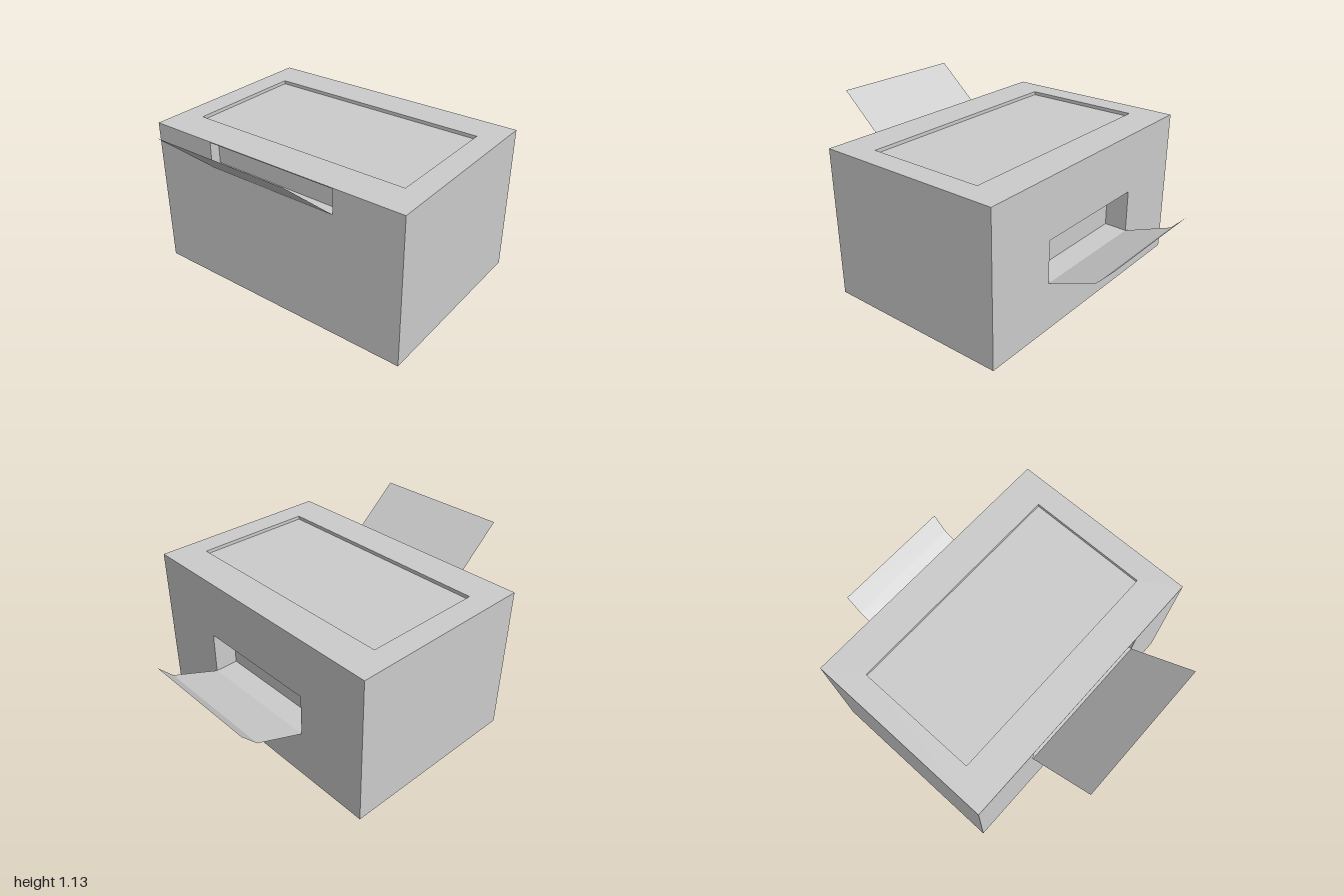
import * as THREE from 'three';

const W = 1.78, H = 0.96, Z0 = -0.595, Z1 = 0.625;
const D = Z1 - Z0, ZC = (Z0 + Z1) / 2;

const solid = new THREE.MeshStandardMaterial({ color: 0xcccccc, flatShading: true });
const thin = new THREE.MeshStandardMaterial({ color: 0xcccccc, flatShading: true, side: THREE.DoubleSide });

function mesh(name, geometry, material = solid) {
  const m = new THREE.Mesh(geometry, material);
  m.name = name;
  return m;
}

function rectangle(path, x0, x1, y0, y1) {
  path.moveTo(x0, y0);
  path.lineTo(x1, y0);
  path.lineTo(x1, y1);
  path.lineTo(x0, y1);
  path.closePath();
  return path;
}

// Panel facing +z with a rectangular pocket sunk into it
function pocketPanel(name, w, h, [x0, x1, y0, y1], depth) {
  const group = new THREE.Group();
  group.name = name;
  const shape = rectangle(new THREE.Shape(), -w / 2, w / 2, -h / 2, h / 2);
  shape.holes.push(rectangle(new THREE.Path(), x0, x1, y0, y1));
  group.add(mesh(name + 'Face', new THREE.ShapeGeometry(shape)));

  const pw = x1 - x0, ph = y1 - y0;
  const pocket = new THREE.Group();
  pocket.name = name + 'Pocket';
  pocket.position.set((x0 + x1) / 2, (y0 + y1) / 2, -depth);
  pocket.add(mesh('pocketBase', new THREE.PlaneGeometry(pw, ph)));
  // Four walls facing the middle of the pocket
  for (const s of [-1, 1]) {
    const side = mesh('pocketSide', new THREE.PlaneGeometry(depth, ph));
    side.position.set(s * pw / 2, 0, depth / 2);
    side.rotation.y = -s * Math.PI / 2;
    const edge = mesh('pocketEdge', new THREE.PlaneGeometry(pw, depth));
    edge.position.set(0, s * ph / 2, depth / 2);
    edge.rotation.x = s * Math.PI / 2;
    pocket.add(side, edge);
  }
  group.add(pocket);
  return group;
}

// Thin sheet that follows a (z, y) profile across the given width
function sheet(name, width, profile) {
  const g = new THREE.PlaneGeometry(width, 1, 1, profile.length - 1);
  const p = g.attributes.position;
  for (let i = 0; i < p.count; i++) {
    const [z, y] = profile[Math.floor(i / 2)];
    p.setXYZ(i, p.getX(i), y, z);
  }
  const flat = g.toNonIndexed();
  flat.computeVertexNormals();
  return mesh(name, flat, thin);
}

export function createModel() {
  const model = new THREE.Group();
  model.name = 'printer';

  // Front with a shallow paper slot just under the top edge
  const front = pocketPanel('front', W, H, [-0.445, 0.445, 0.80 - H / 2, 0.955 - H / 2], 0.065);
  front.position.set(0, H / 2, Z1);

  // Back with a deeper paper outlet
  const back = pocketPanel('back', W, H, [-0.41, 0.41, 0.31 - H / 2, 0.58 - H / 2], 0.15);
  back.position.set(0, H / 2, Z0);
  back.rotation.y = Math.PI;

  // Top with a sunken scanner bed
  const top = pocketPanel('top', W, D, [-0.742, 0.742, ZC - 0.40, ZC + 0.375], 0.022);
  top.position.set(0, H, ZC);
  top.rotation.x = -Math.PI / 2;

  // Plain sides and underside
  for (const s of [-1, 1]) {
    const side = mesh(s > 0 ? 'leftSide' : 'rightSide', new THREE.PlaneGeometry(D, H));
    side.position.set(s * W / 2, H / 2, ZC);
    side.rotation.y = s * Math.PI / 2;
    model.add(side);
  }
  const bottom = mesh('bottom', new THREE.PlaneGeometry(W, D));
  bottom.position.z = ZC;
  bottom.rotation.x = Math.PI / 2;

  // Flat feed tray at the front, folded catch tray at the back
  const feedTray = sheet('feedTray', 0.89, [[1, 1.13], [Z1, 0.80]]);
  const catchTray = sheet('catchTray', 0.82, [[Z0, 0.31], [-0.905, 0.432], [-1, 0.533]]);

  model.add(front, back, top, bottom, feedTray, catchTray);
  return model;
}
